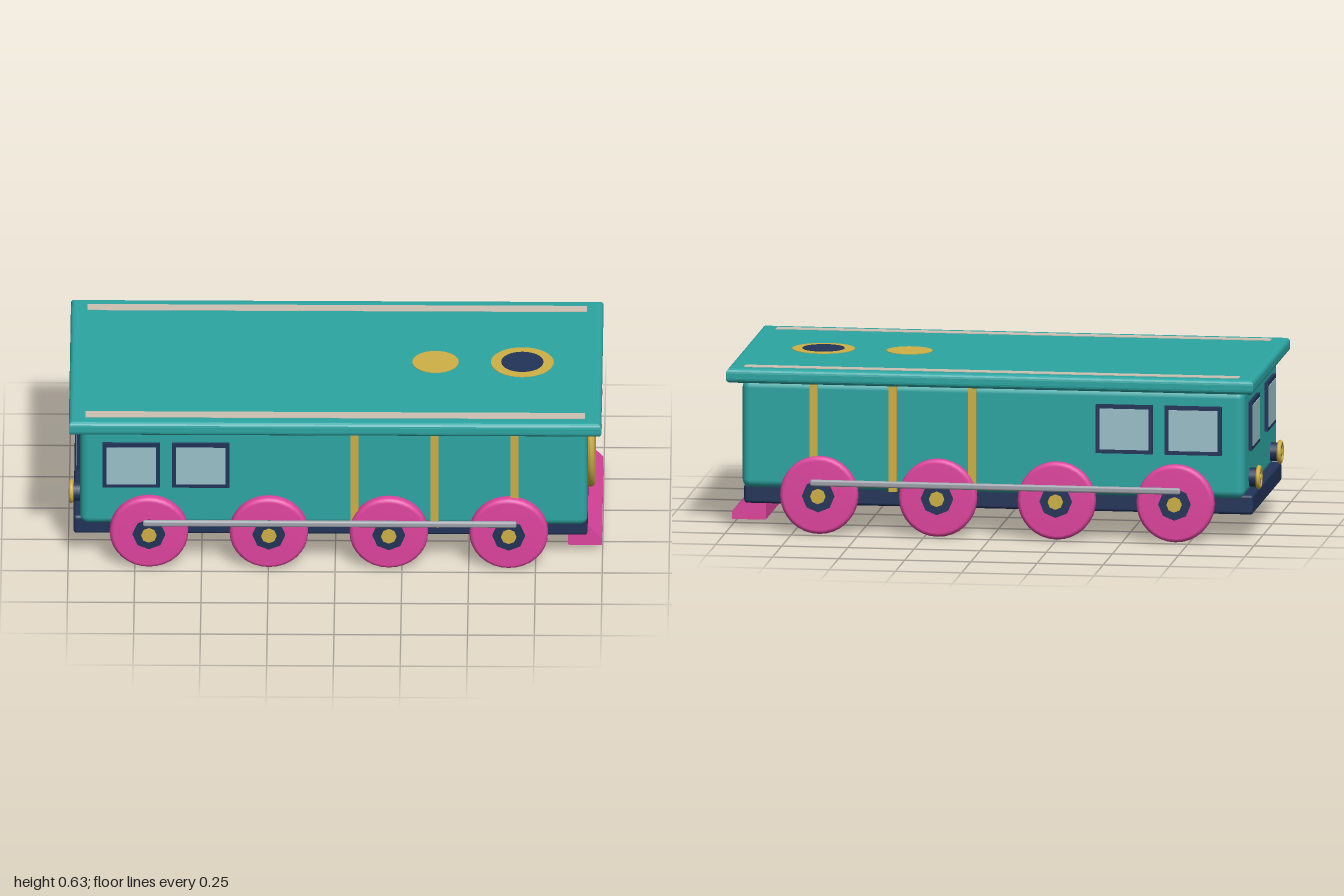
import * as THREE from 'three';
import { RoundedBoxGeometry } from 'three/addons/geometries/RoundedBoxGeometry.js';

const mat = (name, color) => {
  const m = new THREE.MeshStandardMaterial({ color });
  m.name = name;
  return m;
};

export function createModel() {
  const teal = mat('teal', 0x2ca6a3), navy = mat('navy', 0x22345a), gold = mat('gold', 0xcfb145);
  const pink = mat('pink', 0xe0449f), cream = mat('cream', 0xcdc1b2);
  const glass = mat('glass', 0x9bc2ca), steel = mat('steel', 0xa0a3ab);
  const model = new THREE.Group();
  model.name = 'locomotive';

  const add = (name, geo, material, x = 0, y = 0, z = 0, parent = model) => {
    const mesh = new THREE.Mesh(geo, material);
    mesh.name = name;
    mesh.position.set(x, y, z);
    parent.add(mesh);
    return mesh;
  };
  const box = (w, h, d) => new THREE.BoxGeometry(w, h, d);
  const discX = (r, len, n = 32) => new THREE.CylinderGeometry(r, r, len, n).rotateZ(-Math.PI / 2);
  const discZ = (r, len, n = 32) => new THREE.CylinderGeometry(r, r, len, n).rotateX(Math.PI / 2);
  const ringX = (r, tube, n) => new THREE.TorusGeometry(r, tube, 8, n).rotateY(Math.PI / 2);

  // Body and chassis
  add('body', new RoundedBoxGeometry(1.9, 0.41, 0.885, 3, 0.03), teal, -0.005, 0.37, 0);
  add('chassis', new RoundedBoxGeometry(1.925, 0.075, 0.774, 2, 0.012), navy, -0.018, 0.135, 0);

  // Roof slab with rounded rim and square corners
  const b = 0.018, hx = 0.997 - b, hz = 0.498 - b;
  const plan = new THREE.Shape([[-hx, -hz], [hx, -hz], [hx, hz], [-hx, hz]].map(p => new THREE.Vector2(...p)));
  const roof = new THREE.ExtrudeGeometry(plan, {
    depth: 0.055 - 2 * b, bevelSize: b, bevelThickness: b, bevelSegments: 4,
  }).rotateX(-Math.PI / 2);
  add('roof', roof, teal, 0, 0.57 + b, 0);

  // Roof trim
  for (const s of [1, -1]) add('roofStripe', box(1.87, 0.006, 0.046), cream, 0, 0.624, s * 0.427);
  add('steamDome', new THREE.CylinderGeometry(0.087, 0.087, 0.006, 32), gold, 0.372, 0.624, 0);
  add('chimneyRim', new THREE.CylinderGeometry(0.118, 0.118, 0.006, 32), gold, 0.697, 0.624, 0);
  add('chimneyHole', new THREE.CylinderGeometry(0.079, 0.079, 0.006, 32), navy, 0.697, 0.626, 0);

  // Bands around the body
  for (const x of [0.072, 0.372, 0.672]) add('bodyBand', box(0.03, 0.41, 0.91), gold, x, 0.37, 0);

  // Windows on both sides and at the back
  const addWindow = (x, z, turn) => {
    const w = new THREE.Group();
    w.name = 'window';
    add('windowFrame', box(0.215, 0.185, 0.02), navy, 0, 0, 0, w);
    add('windowPane', box(0.185, 0.155, 0.006), glass, 0, 0, 0.01, w);
    w.position.set(x, 0.423, z);
    w.rotation.y = turn;
    model.add(w);
  };
  for (const s of [1, -1]) {
    for (const x of [-0.763, -0.503]) addWindow(x, s * 0.445, s > 0 ? 0 : Math.PI);
    addWindow(-0.957, s * 0.215, -Math.PI / 2);
  }

  // Boiler front
  add('boilerDoor', discX(0.215, 0.04, 40), navy, 0.938, 0.357, 0);
  add('boilerRing', ringX(0.214, 0.016, 20), gold, 0.955, 0.357, 0);
  add('doorKnob', new THREE.SphereGeometry(0.029, 16, 12), gold, 0.967, 0.357, 0);
  add('lampRim', ringX(0.045, 0.011, 24), gold, 0.964, 0.502, 0);
  add('lamp', new THREE.SphereGeometry(0.042, 20, 14), cream, 0.957, 0.502, 0);

  // Front plough
  const wedge = new THREE.Shape([[0.87, 0.026], [0.998, 0.026], [0.998, 0.055], [0.93, 0.125], [0.87, 0.125]]
    .map(p => new THREE.Vector2(...p)));
  add('plough', new THREE.ExtrudeGeometry(wedge, { depth: 0.65, bevelEnabled: false }), pink, 0, 0, -0.325);

  // Rear buffers
  for (const s of [1, -1]) {
    add('bufferStem', discX(0.036, 0.07, 16), navy, -0.957, 0.225, s * 0.285);
    add('bufferRim', ringX(0.037, 0.009, 16), gold, -0.989, 0.225, s * 0.285);
    add('bufferCap', new THREE.SphereGeometry(0.016, 12, 8), gold, -0.984, 0.225, s * 0.285);
  }

  // Wheels with hubs, and the rods joining them
  const profile = [[0, -0.026], [0.132, -0.026], [0.142, -0.021], [0.147, -0.012], [0.147, 0.012],
    [0.142, 0.021], [0.132, 0.026], [0, 0.026]].map(p => new THREE.Vector2(...p));
  const wheelGeo = new THREE.LatheGeometry(profile, 32).rotateX(Math.PI / 2);
  for (const s of [1, -1]) {
    for (const x of [-0.697, -0.248, 0.201, 0.65]) {
      add('wheel', wheelGeo, pink, x, 0.147, s * 0.451);
      add('wheelHub', discZ(0.061, 0.03, 8), navy, x, 0.147, s * 0.472);
      add('hubCap', discZ(0.029, 0.03, 8), gold, x, 0.147, s * 0.48);
    }
    add('couplingRod', new RoundedBoxGeometry(1.4, 0.025, 0.018, 2, 0.008), steel, -0.02, 0.198, s * 0.489);
  }
  return model;
}
